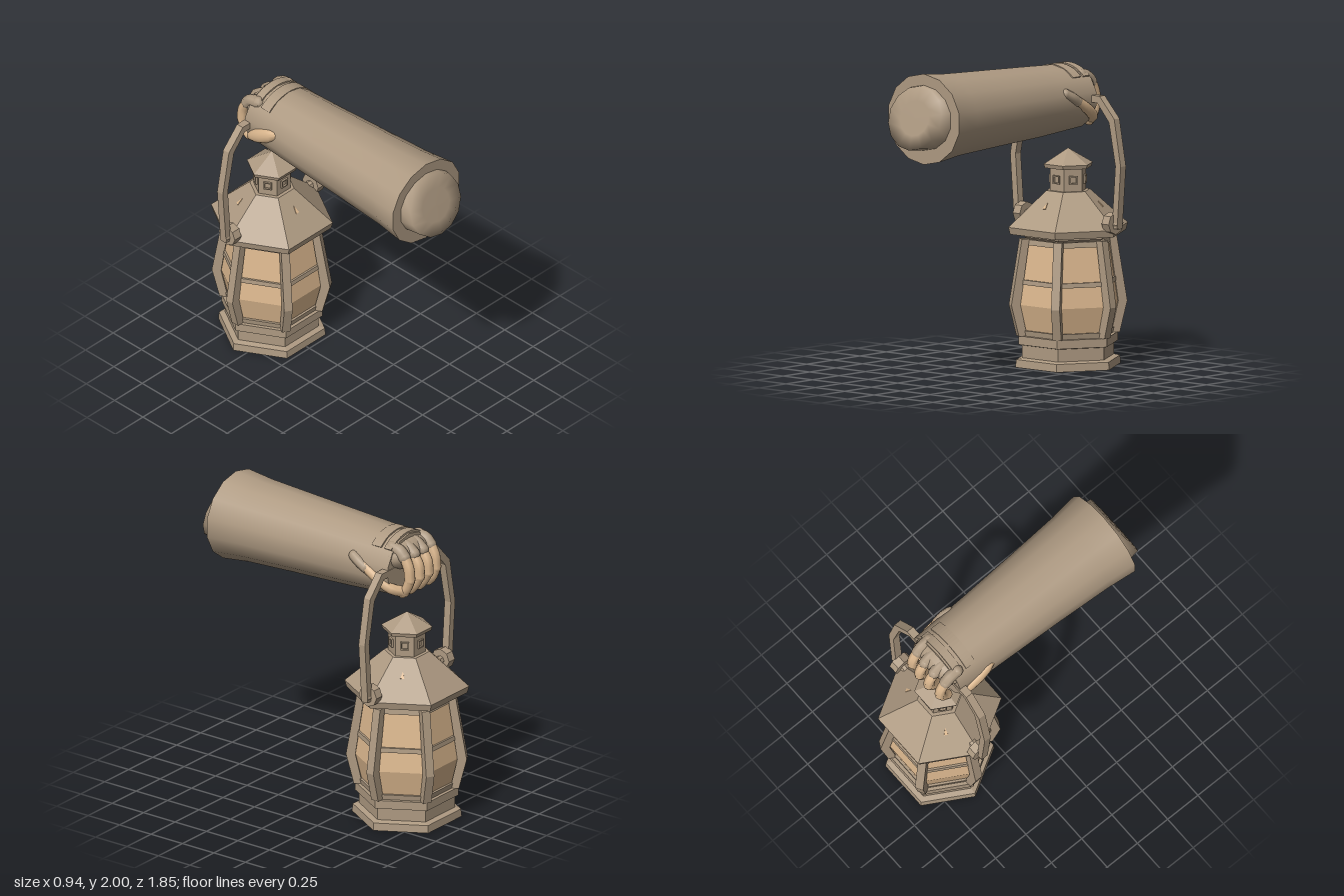
import * as THREE from 'three';

const brown = new THREE.MeshStandardMaterial({ color: 0xae9a82 });
brown.name = 'weathered brown';
const tan = new THREE.MeshStandardMaterial({ color: 0xdbb78e });
tan.name = 'warm tan';

const TAU = Math.PI * 2;

// Faceted copy of a geometry
function flat(geo) {
  const g = geo.index ? geo.toNonIndexed() : geo;
  g.computeVertexNormals();
  return g;
}

function add(parent, name, geo, mat = brown) {
  const m = new THREE.Mesh(geo, mat);
  m.name = name;
  parent.add(m);
  return m;
}

const toShape = pts => new THREE.Shape(pts.map(p => new THREE.Vector2(p[0], p[1])));

// Extrusion centred on its depth
function slab(shape, depth) {
  const g = new THREE.ExtrudeGeometry(shape, { depth, bevelEnabled: false, curveSegments: 8 });
  return g.translate(0, 0, -depth / 2);
}

// Six-sided turned part, corners on the x axis
function hex(profile) {
  const pts = profile.map(p => new THREE.Vector2(p[0], p[1]));
  return flat(new THREE.LatheGeometry(pts, 6, Math.PI / 6));
}

// Skin over elliptical rings [z, centreY, rx, ry, slant], from back to front
function loft(rings, sides = 14) {
  const pos = [], idx = [];
  for (const [z, cy, rx, ry, slant = 0] of rings)
    for (let i = 0; i < sides; i++) {
      const a = i / sides * TAU;
      pos.push(rx * Math.sin(a), cy + ry * Math.cos(a), z - slant * Math.cos(a));
    }
  for (let r = 0; r < rings.length - 1; r++)
    for (let i = 0; i < sides; i++) {
      const a = r * sides + i, b = r * sides + (i + 1) % sides;
      idx.push(a, a + sides, b, b, a + sides, b + sides);
    }
  const g = new THREE.BufferGeometry();
  g.setAttribute('position', new THREE.Float32BufferAttribute(pos, 3));
  g.setIndex(idx);
  g.computeVertexNormals();
  return g;
}

// Rounded tube through points, with ball ends
function limb(parent, name, pts, r, mat) {
  const v = pts.map(p => new THREE.Vector3(...p));
  const g = new THREE.Group();
  g.name = name;
  add(g, name + 'Tube', new THREE.TubeGeometry(new THREE.CatmullRomCurve3(v), 10, r, 8), mat);
  for (const p of [v[0], v[v.length - 1]])
    add(g, name + 'End', new THREE.SphereGeometry(r, 8, 6), mat).position.copy(p);
  parent.add(g);
}

function buildLantern() {
  const lantern = new THREE.Group();
  lantern.name = 'lantern';
  add(lantern, 'base', hex([[0, 0], [0.35, 0], [0.345, 0.05], [0.305, 0.06], [0.305, 0.14],
    [0.33, 0.145], [0.33, 0.2], [0, 0.205]]));
  add(lantern, 'glass', hex([[0.285, 0.2], [0.335, 0.4], [0.265, 0.82]]), tan);
  // Horizontal glazing bars
  for (const [y0, y1, r0, r1] of [[0.2, 0.235, 0.305, 0.312], [0.53, 0.56, 0.327, 0.323], [0.78, 0.815, 0.288, 0.282]])
    add(lantern, 'glazingBar', hex([[r0 - 0.04, y0], [r0, y0], [r1, y1], [r1 - 0.04, y1]]));
  // Bent corner posts
  const post = slab(toShape([[0.28, 0.2], [0.335, 0.2], [0.385, 0.4], [0.315, 0.82],
    [0.265, 0.82], [0.325, 0.4]]), 0.055);
  for (let i = 0; i < 6; i++) add(lantern, 'cornerPost', post).rotation.y = i * TAU / 6;

  add(lantern, 'topRim', hex([[0, 0.815], [0.27, 0.815], [0.29, 0.83], [0.29, 0.845], [0, 0.85]]));
  add(lantern, 'roof', hex([[0, 0.85], [0.385, 0.85], [0.397, 0.895], [0.145, 1.12], [0, 1.12]]));
  add(lantern, 'chimney', hex([[0.12, 1.11], [0.12, 1.275]]));
  add(lantern, 'chimneyCap', hex([[0, 1.265], [0.155, 1.265], [0.163, 1.29], [0, 1.387]]));

  // Square vent frames around the chimney
  const ventShape = toShape([[-0.027, -0.027], [0.027, -0.027], [0.027, 0.027], [-0.027, 0.027]]);
  ventShape.holes.push(new THREE.Path([[-0.019, -0.019], [-0.019, 0.019], [0.019, 0.019], [0.019, -0.019]]
    .map(p => new THREE.Vector2(...p))));
  const vent = slab(ventShape, 0.02).translate(0, 1.193, 0.106);
  for (let i = 0; i < 6; i++) add(lantern, 'ventFrame', vent).rotation.y = i * TAU / 6;

  // Small light slits on alternate roof faces
  const slit = slab(toShape([[-0.013, -0.025], [0.013, -0.025], [0, 0.025]]), 0.006);
  slit.rotateX(-Math.atan2(0.218, 0.225)).translate(0, 1.035, 0.209);
  for (let i = 0; i < 3; i++) add(lantern, 'roofSlit', slit, tan).rotation.y = i * TAU / 3;

  // Carrying handle
  const outer = [[0.44, 0.91], [0.47, 1.31], [0.415, 1.61], [0.29, 1.745]];
  const inner = [[0.27, 1.7], [0.37, 1.585], [0.425, 1.31], [0.395, 0.91]];
  const flip = pts => pts.map(([x, y]) => [-x, y]).reverse();
  add(lantern, 'handle', slab(toShape([...outer, ...flip(outer), ...flip(inner), ...inner]), 0.05));
  for (const s of [-1, 1]) {
    const disc = new THREE.CylinderGeometry(0.07, 0.07, 0.06, 8).rotateZ(Math.PI / 2);
    add(lantern, 'hinge', flat(disc)).position.set(s * 0.378, 0.94, 0);
    const pin = new THREE.CylinderGeometry(0.03, 0.03, 0.16, 8).rotateZ(Math.PI / 2);
    add(lantern, 'hingePin', flat(pin)).position.set(s * 0.36, 0.935, 0);
  }
  lantern.position.z = -0.58;
  return lantern;
}

function buildArm() {
  const arm = new THREE.Group();
  arm.name = 'arm';
  add(arm, 'sleeve', loft([[-0.6, 1.718, 0.228, 0.207], [-0.2, 1.713, 0.243, 0.232],
    [0.2, 1.713, 0.262, 0.25], [0.58, 1.712, 0.285, 0.268], [0.78, 1.71, 0.307, 0.29]]));
  add(arm, 'sleeveCuff', loft([[0.78, 1.71, 0.307, 0.29], [0.78, 1.72, 0.2, 0.18]]));
  add(arm, 'wristEnd', loft([[-0.6, 1.718, 0, 0], [-0.6, 1.718, 0.228, 0.207]]));
  add(arm, 'forearmEnd', loft([[0.76, 1.72, 0.237, 0.21], [0.865, 1.725, 0.222, 0.2, 0.055],
    [0.867, 1.725, 0.12, 0.11, 0.03], [0.868, 1.725, 0, 0]]));

  // Curved glove straps across the back of the hand
  const strap = (z, depth) => {
    const s = new THREE.Shape();
    s.absellipse(0, 1.718, 0.24, 0.217, 0.75, Math.PI - 0.75, false);
    s.absellipse(0, 1.718, 0.215, 0.195, Math.PI - 0.75, 0.75, true);
    add(arm, 'gloveStrap', slab(s, depth)).position.z = z;
  };
  strap(-0.47, 0.075);
  strap(-0.56, 0.055);

  // Glove over the knuckles
  const glove = new THREE.SphereGeometry(1, 14, 10).scale(0.2, 0.1, 0.1);
  add(arm, 'glove', glove).position.set(0, 1.8, -0.58);

  // Fingers curled round the handle, with gloved first joints
  [-0.145, -0.05, 0.04, 0.125].forEach((x, i) => {
    const d = i % 3 ? 0.012 : 0;
    limb(arm, 'gloveFinger', [[x, 1.865, -0.56], [x, 1.85, -0.62], [x, 1.815, -0.655 - d]], 0.041, brown);
    limb(arm, 'fingerMiddle', [[x, 1.82, -0.655], [x, 1.75, -0.69 - d], [x, 1.67, -0.7 - d]], 0.035, tan);
    limb(arm, 'fingerTip', [[x, 1.67, -0.7 - d], [x, 1.61, -0.675], [x, 1.57, -0.64]], 0.034, tan);
  });

  // Thumb and the opposite edge of the hand
  limb(arm, 'thumbGlove', [[0.21, 1.775, -0.32], [0.222, 1.75, -0.37], [0.222, 1.72, -0.42]], 0.035, brown);
  limb(arm, 'thumb', [[0.215, 1.73, -0.41], [0.218, 1.67, -0.51], [0.19, 1.61, -0.6], [0.12, 1.58, -0.655]], 0.035, tan);
  const edge = new THREE.SphereGeometry(1, 10, 8).scale(0.035, 0.05, 0.15).rotateX(-0.5);
  add(arm, 'handEdge', edge, tan).position.set(-0.222, 1.7, -0.45);
  return arm;
}

export function createModel() {
  const model = new THREE.Group();
  model.name = 'armHoldingLantern';
  model.add(buildLantern(), buildArm());
  return model;
}
